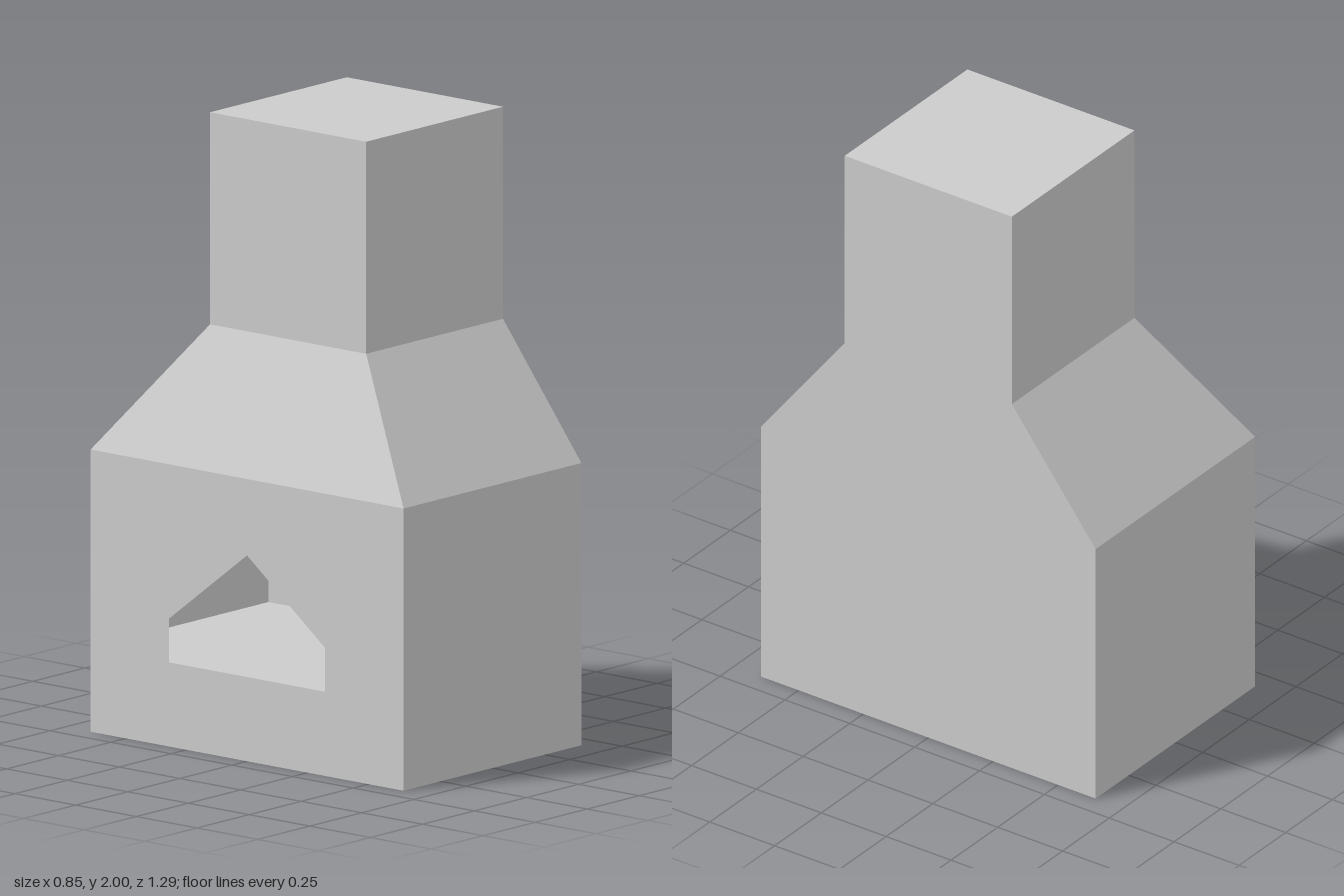
import * as THREE from 'three';

const RIGHT = 0.427; // flat wall side
const material = new THREE.MeshStandardMaterial({ color: 0xcccccc, flatShading: true, side: THREE.DoubleSide });

// Rectangular cross-section at height y, corners counterclockwise from above
const ring = (y, left, halfDepth) => [
  [RIGHT, y, halfDepth], [RIGHT, y, -halfDepth], [left, y, -halfDepth], [left, y, halfDepth],
];

const base = ring(0, -0.427, 0.645);
const shoulder = ring(0.905, -0.427, 0.645);
const neck = ring(1.32, -0.23, 0.322);
const top = ring(2, -0.23, 0.322);

// Geometry from a list of four-cornered faces
function facesGeometry(quads) {
  const points = quads.flatMap(([a, b, c, d]) => [a, b, c, a, c, d]);
  const geometry = new THREE.BufferGeometry();
  geometry.setAttribute('position', new THREE.Float32BufferAttribute(points.flat(), 3));
  geometry.computeVertexNormals();
  return geometry;
}

// Walls between two cross-sections
const walls = (lower, upper, sides = [0, 1, 2, 3]) => sides.map((i) => {
  const j = (i + 1) % 4;
  return [lower[i], lower[j], upper[j], upper[i]];
});

export function createModel() {
  const group = new THREE.Group();
  const add = (name, geometry) => {
    const mesh = new THREE.Mesh(geometry, material);
    mesh.name = name;
    group.add(mesh);
    return mesh;
  };

  // Lower body, its hearth side left open for the panel
  add('fireboxWalls', facesGeometry([...walls(base, shoulder, [0, 1, 3]), [...base].reverse()]));

  // Tapered hood and closed flue
  add('hood', facesGeometry(walls(shoulder, neck)));
  add('flue', facesGeometry([...walls(neck, top), top]));

  // Hearth panel with a gabled opening
  const outline = (points) => points.map(([z, y]) => new THREE.Vector2(z, y));
  const panel = new THREE.Shape(outline([[-0.645, 0], [0.645, 0], [0.645, 0.905], [-0.645, 0.905]]));
  panel.holes.push(new THREE.Path(outline([
    [-0.322, 0.27], [-0.322, 0.41], [0, 0.66], [0.322, 0.41], [0.322, 0.27],
  ])));
  add('hearthPanel', new THREE.ShapeGeometry(panel).rotateY(-Math.PI / 2)).position.x = -0.427;

  // Raised floor inside the firebox
  add('hearthFloor', facesGeometry([ring(0.27, -0.427, 0.645)]));

  return group;
}
